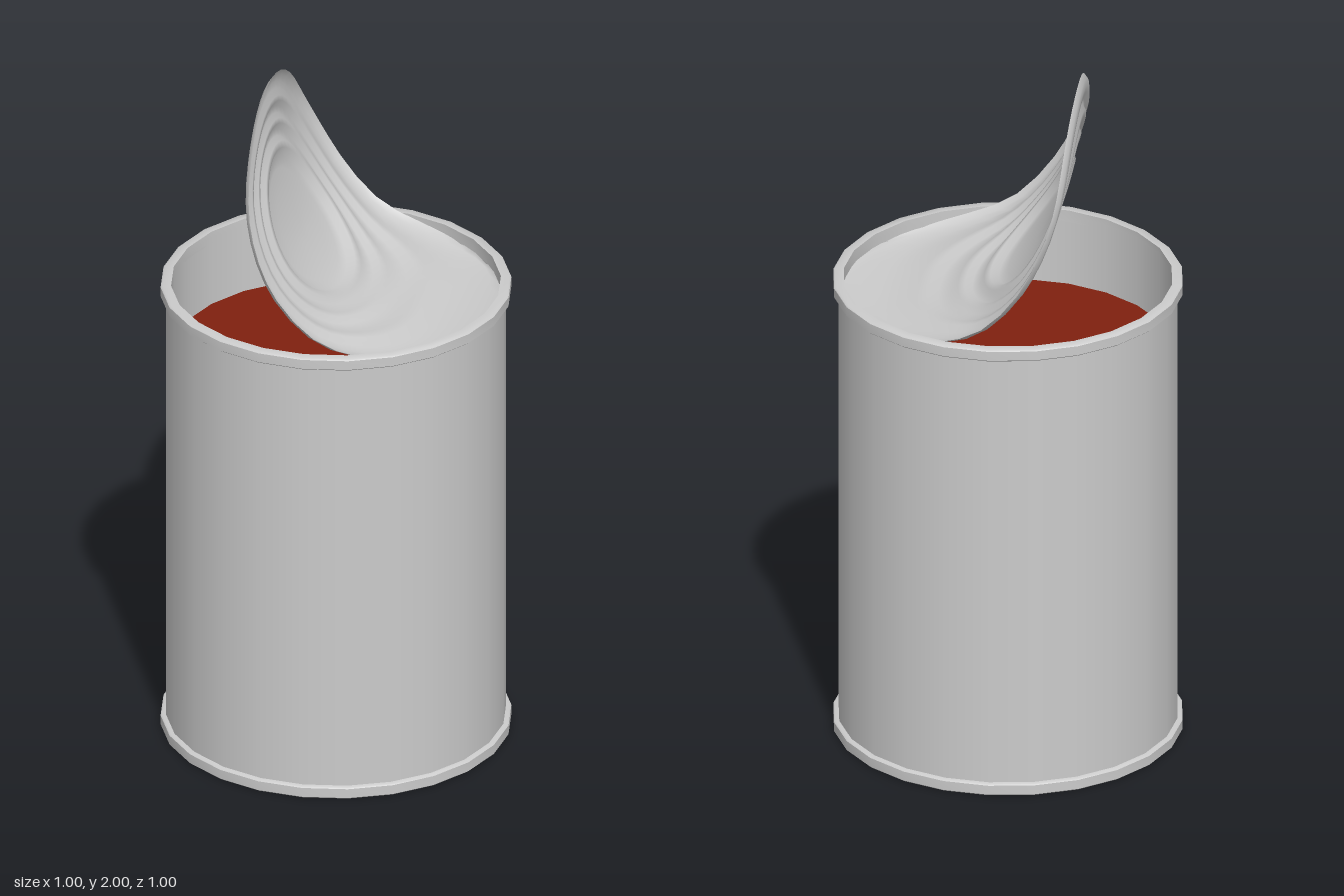
import * as THREE from 'three';
import { mergeVertices, toCreasedNormals } from 'three/addons/utils/BufferGeometryUtils.js';

const SIDES = 24;
const LID_R = 0.468;
const HEIGHT = 1.4;

const metal = new THREE.MeshStandardMaterial({ color: 0xcccccc, side: THREE.DoubleSide });
const soupMaterial = new THREE.MeshStandardMaterial({ color: 0x80200f });

function addMesh(group, name, geometry, material = metal) {
  const mesh = new THREE.Mesh(geometry, material);
  mesh.name = name;
  group.add(mesh);
  return mesh;
}

// Stamped metal disc with concentric ridges, face up: [radius, height]
function stampedDisc(sides) {
  const profile = [
    [LID_R, 0.012], [0.455, 0], [0.435, -0.004], [0.415, -0.004], [0.395, 0.004],
    [0.38, 0.004], [0.365, -0.006], [0.345, -0.006], [0.33, 0.004], [0.315, 0.004],
    [0.3, -0.006], [0.28, -0.006], [0.265, 0.006], [0.245, 0.006], [0.225, -0.01],
    [0.19, -0.012], [0.14, -0.012], [0.09, -0.012], [0.045, -0.012], [0, -0.012],
  ];
  const lathe = new THREE.LatheGeometry(profile.map(([r, h]) => new THREE.Vector2(r, h)), sides);
  lathe.deleteAttribute('uv');
  lathe.deleteAttribute('normal');
  const disc = mergeVertices(lathe, 1e-5);
  disc.computeVertexNormals();
  return disc;
}

// Peel the disc up along a curve that runs from the free tip down to the hinge
function peeledLid() {
  const curve = new THREE.CatmullRomCurve3([
    [-0.21, 2.0], [-0.18, 1.76], [-0.09, 1.555], [0.03, 1.425],
    [0.14, 1.38], [0.28, 1.355], [LID_R, 1.35],
  ].map(([x, y]) => new THREE.Vector3(x, y, 0)));
  const total = curve.getLength();
  const geometry = stampedDisc(48);
  const p = geometry.attributes.position;
  for (let i = 0; i < p.count; i++) {
    const x = p.getX(i), h = p.getY(i), z = p.getZ(i);
    const r = Math.hypot(x, z);
    const k = (r / LID_R) ** 4;
    let s = x, w = z;
    if (x > 0) {
      // the half still attached is stretched towards the hinge
      const reach = (total - LID_R) / LID_R;
      s = x * (0.75 + (reach - 0.75) * k);
      w = Math.sign(z) * r * Math.pow(Math.abs(z) / r, 1 - 0.5 * k);
    }
    const t = THREE.MathUtils.clamp((LID_R + s) / total, 0, 1);
    const c = curve.getPointAt(t), d = curve.getTangentAt(t);
    const px = c.x - d.y * h, py = c.y + d.x * h;
    // keep the sheet inside the can wall
    const limit = Math.sqrt(Math.max(0, LID_R ** 2 - Math.max(0, px) ** 2));
    p.setXYZ(i, px, py, THREE.MathUtils.clamp(w, -limit, limit));
  }
  geometry.computeVertexNormals();
  return geometry;
}

// Rolled seam: a square-sectioned ring with slightly eased outer edges
function seam() {
  const h = 0.036;
  const profile = [
    [0.47, 0], [0.495, 0], [0.5, 0.004], [0.5, h - 0.004], [0.495, h], [0.47, h], [0.47, 0],
  ].map(([x, y]) => new THREE.Vector2(x, y));
  return toCreasedNormals(new THREE.LatheGeometry(profile, SIDES), 0.7);
}

export function createModel() {
  const can = new THREE.Group();
  can.name = 'openCan';

  // Outer and inner walls
  for (const [name, radius] of [['body', 0.485], ['innerWall', 0.47]]) {
    const wall = new THREE.CylinderGeometry(radius, radius, HEIGHT - 0.04, SIDES, 1, true);
    addMesh(can, name, wall).position.y = HEIGHT / 2;
  }

  // Seams at both ends
  addMesh(can, 'bottomRim', seam());
  addMesh(can, 'topRim', seam()).position.y = HEIGHT - 0.036;

  // Recessed ridged base
  const base = addMesh(can, 'base', stampedDisc(SIDES));
  base.rotation.x = Math.PI;
  base.position.y = 0.03;

  // Contents
  const soup = addMesh(can, 'soup', new THREE.CircleGeometry(0.47, SIDES), soupMaterial);
  soup.rotation.x = -Math.PI / 2;
  soup.position.y = 1.17;

  // Curled-back lid
  addMesh(can, 'lid', peeledLid());

  return can;
}
